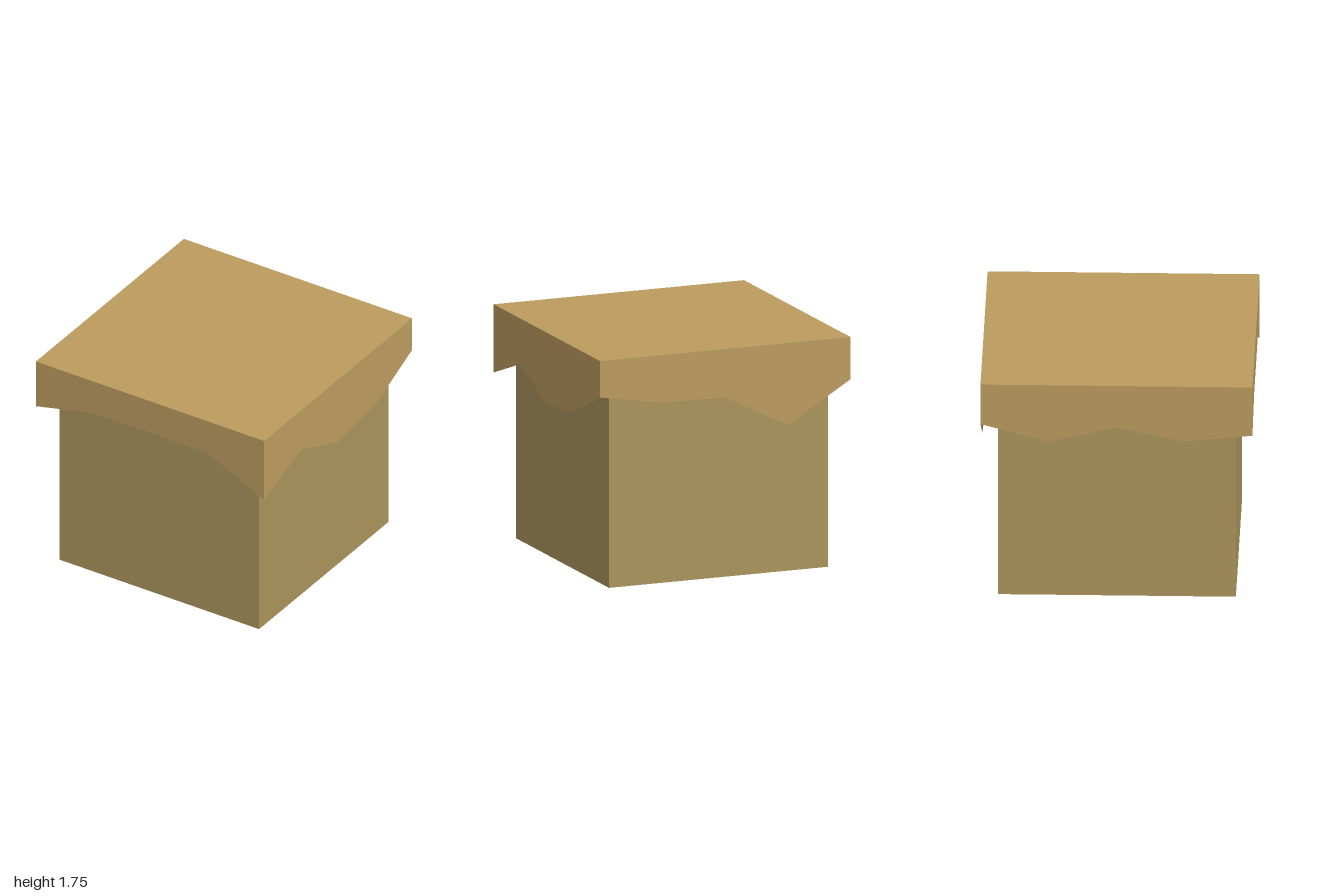
import * as THREE from 'three';

const TOP = 1.75, SOFFIT = 1.475, INNER = 0.97;

// Heights of the ragged lower edge on each side, left to right as seen from outside
const edges = [
  [1.36, 1.475, 1.475, 1.475, 1.235],  // front
  [1.235, 1.405, 1.21, 1.26, 1.475],   // +x side
  [1.475, 1.39, 1.385, 1.13, 1.43],    // back
  [1.43, 1.295, 1.415, 1.305, 1.36],   // -x side
];

// One side: outer wall down to the ragged edge, then an inner wall tapering up to the soffit
function skirtGeometry(heights) {
  const pos = [], index = [];
  heights.forEach((h, i) => {
    const x = -1 + i * 0.5;
    pos.push(x, TOP, 1, x, h, 1, x * INNER, SOFFIT, INNER);
    if (i === 0) return;
    for (let r = 0; r < 2; r++) {
      const a = (i - 1) * 3 + r, b = a + 3;
      index.push(a, a + 1, b + 1, a, b + 1, b);
    }
  });
  const indexed = new THREE.BufferGeometry();
  indexed.setAttribute('position', new THREE.Float32BufferAttribute(pos, 3));
  indexed.setIndex(index);
  const geo = indexed.toNonIndexed();
  geo.computeVertexNormals();
  return geo;
}

export function createModel() {
  const group = new THREE.Group();
  const capMat = new THREE.MeshStandardMaterial({ color: 0xbc9b5e });
  const bodyMat = new THREE.MeshStandardMaterial({ color: 0xab945c });
  const add = (parent, name, geo, mat) => {
    const mesh = new THREE.Mesh(geo, mat);
    mesh.name = name;
    parent.add(mesh);
    return mesh;
  };

  // Square block
  add(group, 'body', new THREE.BoxGeometry(1.75, SOFFIT, 1.75).translate(0, SOFFIT / 2, 0), bodyMat);

  // Overhanging cover with a ragged skirt
  const cover = new THREE.Group();
  cover.name = 'cover';
  group.add(cover);
  add(cover, 'coverTop', new THREE.PlaneGeometry(2, 2).rotateX(-Math.PI / 2).translate(0, TOP, 0), capMat);
  add(cover, 'coverUnderside',
    new THREE.PlaneGeometry(2 * INNER, 2 * INNER).rotateX(Math.PI / 2).translate(0, SOFFIT, 0), capMat);
  ['frontSkirt', 'leftSkirt', 'backSkirt', 'rightSkirt'].forEach((name, i) => {
    add(cover, name, skirtGeometry(edges[i]), capMat).rotation.y = i * Math.PI / 2;
  });
  return group;
}
